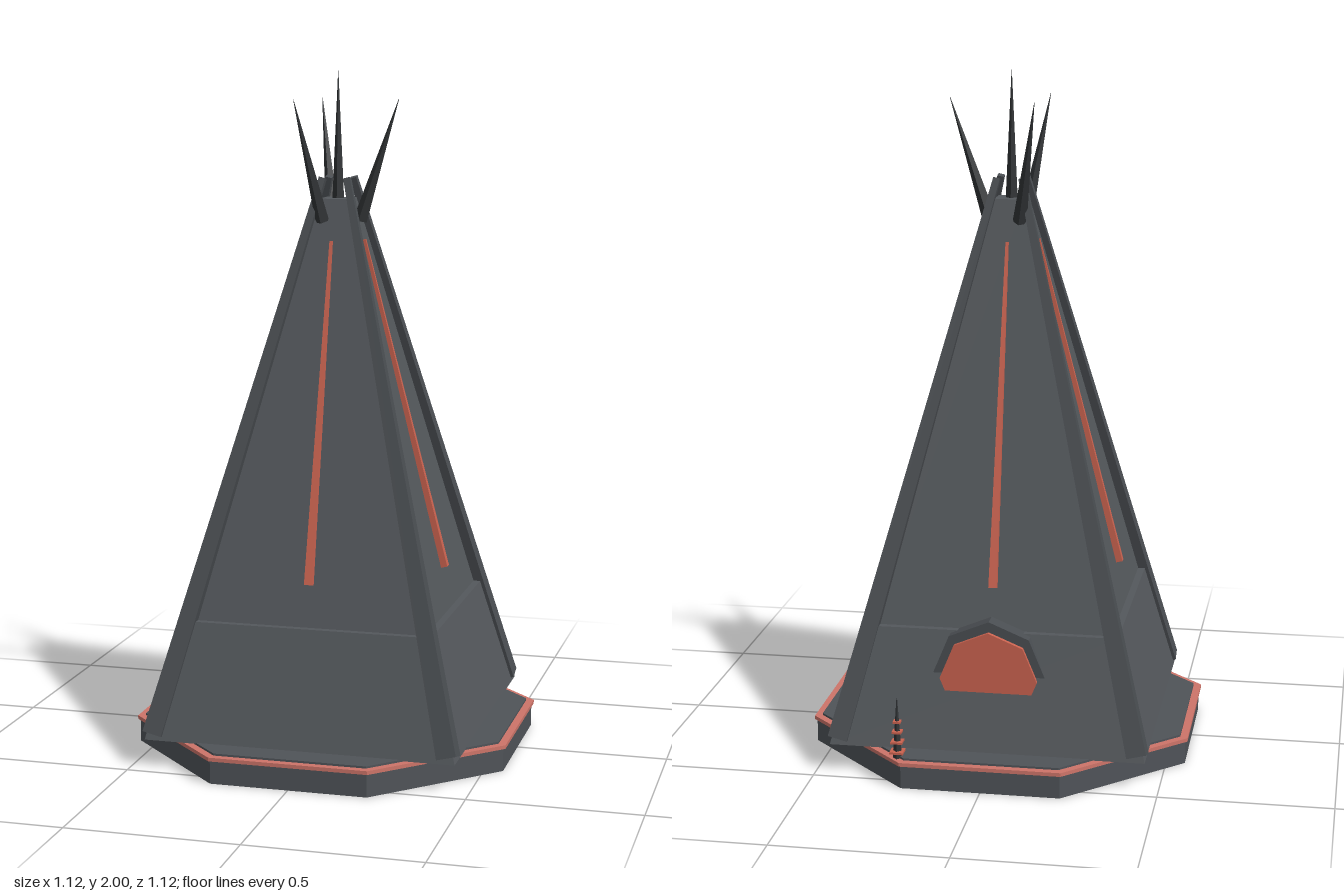
import * as THREE from 'three';

const mat = (name, color) => new THREE.MeshStandardMaterial({ name, color });

export function createModel() {
  const panel = mat('slate panel', 0x54585c);
  const stone = mat('base grey', 0x4f5358);
  const beamGrey = mat('beam grey', 0x4a4e52);
  const dark = mat('dark spike', 0x303335);
  const red = mat('coral red', 0xc9624f);
  const rimRed = mat('rim red', 0xcd7469);
  const model = new THREE.Group();

  // Faceted mesh with hard edges
  const add = (name, geometry, material) => {
    const g = geometry.index ? geometry.toNonIndexed() : geometry;
    g.computeVertexNormals();
    const mesh = new THREE.Mesh(g, material);
    mesh.name = name;
    model.add(mesh);
    return mesh;
  };

  // Regular prism standing between two heights; sizes are half widths across flats
  const prism = (name, sides, half0, half1, y0, y1, material) => {
    const k = 1 / Math.cos(Math.PI / sides);
    const g = new THREE.CylinderGeometry(half1 * k, half0 * k, y1 - y0, sides);
    g.rotateY(Math.PI / sides);
    g.translate(0, (y0 + y1) / 2, 0);
    return add(name, g, material);
  };

  // Tapered four-sided bar from a to b
  const bar = (name, a, b, r0, r1, material, turn = Math.PI / 4) => {
    const from = new THREE.Vector3(...a), dir = new THREE.Vector3(...b).sub(from);
    const len = dir.length();
    const g = new THREE.CylinderGeometry(r1, r0, len, 4);
    g.rotateY(turn);
    g.translate(0, len / 2, 0);
    const mesh = add(name, g, material);
    mesh.quaternion.setFromUnitVectors(new THREE.Vector3(0, 1, 0), dir.normalize());
    mesh.position.copy(from);
    return mesh;
  };

  // Octagonal base with coloured rim and floor slab
  prism('base', 8, 0.555, 0.555, 0, 0.068, stone);
  prism('baseRim', 8, 0.562, 0.562, 0.068, 0.079, rimRed);
  prism('floorSlab', 8, 0.54, 0.54, 0.07, 0.085, stone);

  // Tapering tower: wider skirt, then the slightly inset upper walls
  prism('skirt', 4, 0.46, 0.37, 0.082, 0.42, panel);
  prism('upperWalls', 4, 0.352, 0.045, 0.41, 1.63, panel);

  // Corner beams
  for (const sx of [1, -1]) for (const sz of [1, -1]) {
    bar('cornerBeam', [sx * 0.437, 0.095, sz * 0.437], [sx * 0.037, 1.69, sz * 0.037],
      0.041, 0.014, beamGrey);
  }

  // Light strip up the middle of each wall
  for (let i = 0; i < 4; i++) {
    const a = i * Math.PI / 2, s = Math.sin(a), c = Math.cos(a);
    bar('lightStrip', [s * 0.327, 0.54, c * 0.327], [s * 0.08, 1.51, c * 0.08],
      0.017, 0.006, red);
  }

  // Central spire and three leaning spikes
  bar('spire', [0, 1.6, 0], [0, 2, 0], 0.019, 0.0005, dark, 0);
  for (let i = 0; i < 3; i++) {
    const a = i * Math.PI * 2 / 3, c = Math.cos(a), s = Math.sin(a);
    bar('leaningSpike', [c * 0.066, 1.565, s * 0.066], [c * 0.182, 1.92, s * 0.182],
      0.021, 0.0005, dark, 0);
  }

  // Rear doorway: surround and glowing panel
  const disc = (name, r, z0, z1, y, material) => {
    const g = new THREE.CylinderGeometry(r, r, z1 - z0, 8);
    g.rotateX(Math.PI / 2);
    g.translate(0, y, (z0 + z1) / 2);
    add(name, g, material);
  };
  disc('doorSurround', 0.165, -0.402, -0.35, 0.295, beamGrey);
  disc('doorPanel', 0.142, -0.415, -0.4, 0.288, red);

  // Small ringed mast on the back edge of the base
  const mx = 0.245, mz = -0.522;
  bar('mast', [mx, 0.075, mz], [mx, 0.26, mz], 0.014, 0.001, dark, 0);
  for (let i = 0; i < 4; i++) {
    const w = 0.04 - i * 0.006;
    add('mastRing', new THREE.BoxGeometry(w, 0.006, w), red)
      .position.set(mx, 0.098 + i * 0.03, mz);
  }

  return model;
}
